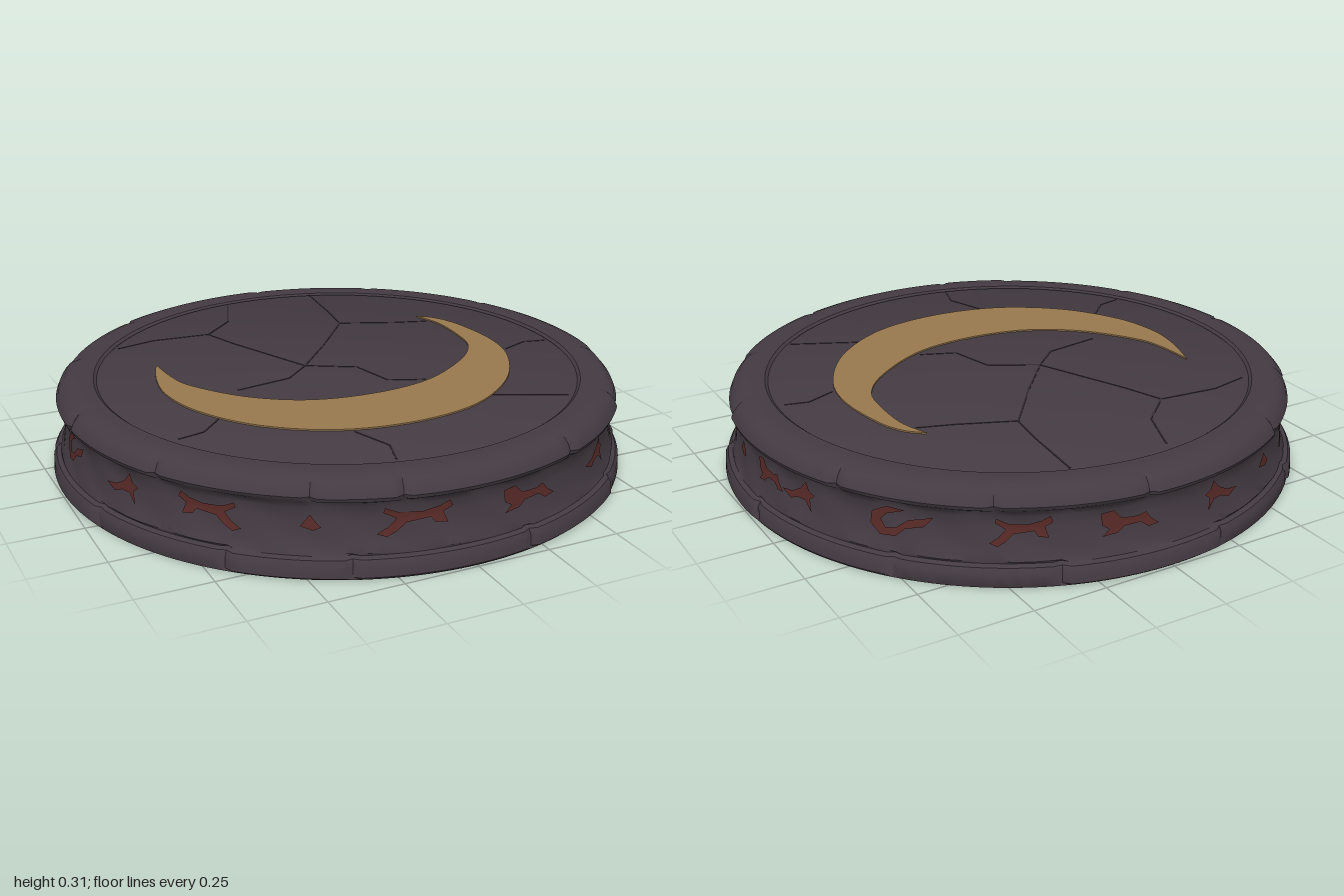
import * as THREE from 'three';
import { mergeGeometries, toCreasedNormals } from 'three/addons/utils/BufferGeometryUtils.js';

const mat = (name, color) => {
  const m = new THREE.MeshStandardMaterial({ color });
  m.name = name;
  return m;
};

const SEGMENTS = 240;
const RAD = Math.PI / 180;

// Profile of the carved band, [radius, height]
const BAND = [[0.968, 0.075], [0.958, 0.1], [0.95, 0.14], [0.945, 0.18], [0.946, 0.215], [0.955, 0.235]];

function bandRadius(y) {
  for (let i = 1; i < BAND.length; i++) {
    const [r0, y0] = BAND[i - 1], [r1, y1] = BAND[i];
    if (y <= y1) return r0 + (r1 - r0) * (y - y0) / (y1 - y0);
  }
  return BAND[BAND.length - 1][0];
}

// Joints between the stone blocks, in degrees from the front
const RIM_JOINTS = [24, 51, 78, 117, 147, 175.5, 213, 240, 271.5, 300, 330, 346.5];
const BASE_JOINTS = [12, 42, 66, 94.5, 129, 159, 192, 222, 252, 285, 315, 337.5];

// Radial offset: each block sits slightly in or out, with a groove at its joint
function blockOffset(deg, joints, depth) {
  let block = 0;
  for (const [i, j] of joints.entries()) {
    if (Math.abs(deg - j) < 0.8) return -depth;
    if (deg > j) block = i + 1;
  }
  block %= joints.length;
  return -0.004 + 0.004 * Math.sin(block * 2.4);
}

function stoneBody() {
  const profile = [
    [0, 0], [0.99, 0], [1, 0.008], [0.998, 0.045], [0.988, 0.062], [0.972, 0.068],
    ...BAND,
    [0.972, 0.243], [0.977, 0.256], [0.968, 0.277], [0.95, 0.298], [0.925, 0.308],
    [0.89, 0.311], [0.845, 0.309], [0.835, 0.301], [0.826, 0.306], [0, 0.306],
  ].map(([r, y]) => new THREE.Vector2(r, y));
  const geo = new THREE.LatheGeometry(profile, SEGMENTS);
  const p = geo.attributes.position;
  for (let i = 0; i < p.count; i++) {
    const x = p.getX(i), y = p.getY(i), z = p.getZ(i), r = Math.hypot(x, z);
    if (r < 0.86) continue;
    const deg = (Math.atan2(x, z) / RAD + 360.0001) % 360;
    let d;
    if (y > 0.24) d = blockOffset(deg, RIM_JOINTS, 0.016);
    else if (y < 0.07) d = y < 0.001 ? 0 : blockOffset(deg, BASE_JOINTS, 0.014);
    else d = 0.002 * Math.sin(deg * RAD * 23 + y * 40);
    p.setX(i, x * (r + d) / r);
    p.setZ(i, z * (r + d) / r);
  }
  return toCreasedNormals(geo, 0.6);
}

// Crescent inlay: outer and inner splines meeting at two tips
function crescent() {
  const v = list => list.map(([x, z]) => new THREE.Vector2(x, -z));
  const outer = [[-0.575, -0.27], [-0.62, -0.13], [-0.635, 0.02], [-0.59, 0.2], [-0.46, 0.39], [-0.25, 0.53], [0, 0.575],
    [0.25, 0.53], [0.46, 0.38], [0.59, 0.18], [0.63, 0], [0.61, -0.19], [0.57, -0.3], [0.51, -0.36]];
  const inner = [[0.51, -0.36], [0.545, -0.25], [0.545, -0.1], [0.52, 0.02], [0.42, 0.14], [0.22, 0.265], [0, 0.3],
    [-0.22, 0.265], [-0.4, 0.15], [-0.53, -0.02], [-0.565, -0.13], [-0.575, -0.27]];
  const shape = new THREE.Shape();
  shape.moveTo(outer[0][0], -outer[0][1]);
  shape.splineThru(v(outer.slice(1)));
  shape.splineThru(v(inner.slice(1)));
  const geo = new THREE.ExtrudeGeometry(shape, { depth: 0.006, bevelEnabled: false, curveSegments: 5 });
  return geo.rotateX(-Math.PI / 2).translate(0, 0.305, 0);
}

// Hairline cracks between the paving slabs, as [x, z] polylines
const CRACKS = [
  [[0.25, -0.79], [0.23, -0.56], [0.21, -0.42], [0.4, -0.34], [0.52, -0.3]],
  [[0.21, -0.42], [0.05, -0.22], [-0.1, -0.05]],
  [[-0.1, -0.8], [-0.17, -0.62], [-0.29, -0.51], [-0.24, -0.37], [-0.1, -0.05]],
  [[-0.29, -0.51], [-0.5, -0.53], [-0.64, -0.5]],
  [[-0.1, -0.05], [-0.2, 0.04], [-0.4, 0.07]],
  [[-0.1, -0.05], [0.06, 0.04], [0.1, 0.2], [0.22, 0.25]],
  [[0.63, 0.1], [0.73, 0.06], [0.81, 0.08]],
  [[-0.55, 0.28], [-0.63, 0.36], [-0.72, 0.38]],
  [[-0.2, 0.56], [-0.15, 0.7], [-0.18, 0.8]],
  [[0.35, 0.47], [0.58, 0.58]],
];

function cracks() {
  const parts = [];
  for (const line of CRACKS) {
    for (let i = 1; i < line.length; i++) {
      const [x0, z0] = line[i - 1], [x1, z1] = line[i];
      const g = new THREE.BoxGeometry(Math.hypot(x1 - x0, z1 - z0), 0.003, 0.006);
      g.rotateY(-Math.atan2(z1 - z0, x1 - x0));
      parts.push(g.translate((x0 + x1) / 2, 0.306, (z0 + z1) / 2));
    }
  }
  return mergeGeometries(parts);
}

// Painted figures, as outlines about their own centre
const RUNNER = [[-0.12, -0.035], [-0.085, -0.015], [-0.06, 0.01], [-0.1, 0.03], [-0.095, 0.045], [-0.05, 0.028], [0.02, 0.025],
  [0.07, 0.035], [0.105, 0.05], [0.115, 0.03], [0.085, 0.015], [0.1, -0.02], [0.06, -0.015], [0.045, 0.003],
  [-0.03, -0.005], [-0.06, -0.03], [-0.09, -0.045]];
const CROUCHER = [[-0.1, 0.0], [-0.105, 0.04], [-0.06, 0.045], [-0.03, 0.015], [0.03, 0.012], [0.06, 0.02], [0.08, -0.005],
  [0.11, -0.025], [0.07, -0.03], [0.04, -0.01], [-0.02, -0.012], [-0.045, -0.03], [-0.1, -0.035], [-0.075, -0.015]];
const LEAPER = [[-0.09, -0.012], [-0.04, -0.004], [0.0, 0.018], [0.03, 0.05], [0.04, 0.02], [0.065, 0.01], [0.045, -0.005],
  [0.055, -0.045], [0.025, -0.015], [-0.01, -0.015], [-0.045, -0.03]];
const SPOT = [[-0.03, -0.01], [0.0, 0.028], [0.012, 0.01], [0.032, -0.012], [0.01, -0.022]];
const COIL = [[0.03, 0.045], [-0.03, 0.05], [-0.08, 0.025], [-0.085, -0.015], [-0.05, -0.045], [0.0, -0.042], [0.03, -0.015],
  [0.09, 0.0], [0.12, 0.035], [0.085, 0.025], [0.04, 0.015], [0.0, -0.015], [-0.035, -0.02], [-0.05, 0.005], [-0.03, 0.025]];

// Figure, degrees from the front, horizontal scale
const FIGURES = [
  [CROUCHER, 13, 1], [LEAPER, 37, 1], [LEAPER, 55, 1], [RUNNER, 69, 0.8], [SPOT, 83, 1], [CROUCHER, 97, 0.7],
  [LEAPER, 107, 1], [COIL, 129, 1], [RUNNER, 152, 0.8], [CROUCHER, 172, 0.9], [LEAPER, 193, -1], [SPOT, 210, 1.3],
  [RUNNER, 228, 0.9], [CROUCHER, 249, -0.9], [COIL, 270, 0.8], [LEAPER, 291, 1], [RUNNER, 311, -0.9],
  [SPOT, 330, 1], [RUNNER, 349, 1],
];

// Wrap an outline round the band
function figure(outline, deg, scale) {
  const shape = new THREE.Shape(outline.map(([u, w]) => new THREE.Vector2(u * scale, w)));
  const geo = new THREE.ShapeGeometry(shape);
  const p = geo.attributes.position;
  for (let i = 0; i < p.count; i++) {
    const y = 0.166 + p.getY(i), r = bandRadius(y) + 0.006;
    const a = deg * RAD + p.getX(i) / 0.95;
    p.setXYZ(i, r * Math.sin(a), y, r * Math.cos(a));
  }
  geo.computeVertexNormals();
  return geo;
}

export function createModel() {
  const stone = mat('darkStone', 0x443b42);
  const gold = mat('dullGold', 0x98794d);
  const red = mat('driedRed', 0x582a27);
  red.side = THREE.DoubleSide;
  const shadow = mat('crackStone', 0x30292f);

  const group = new THREE.Group();
  group.name = 'stonePlinth';
  const add = (name, geo, material) => {
    const mesh = new THREE.Mesh(geo, material);
    mesh.name = name;
    group.add(mesh);
  };
  add('stoneBody', stoneBody(), stone);
  add('crescentInlay', crescent(), gold);
  add('slabCracks', cracks(), shadow);
  add('paintedFigures', mergeGeometries(FIGURES.map(f => figure(...f))), red);
  return group;
}
